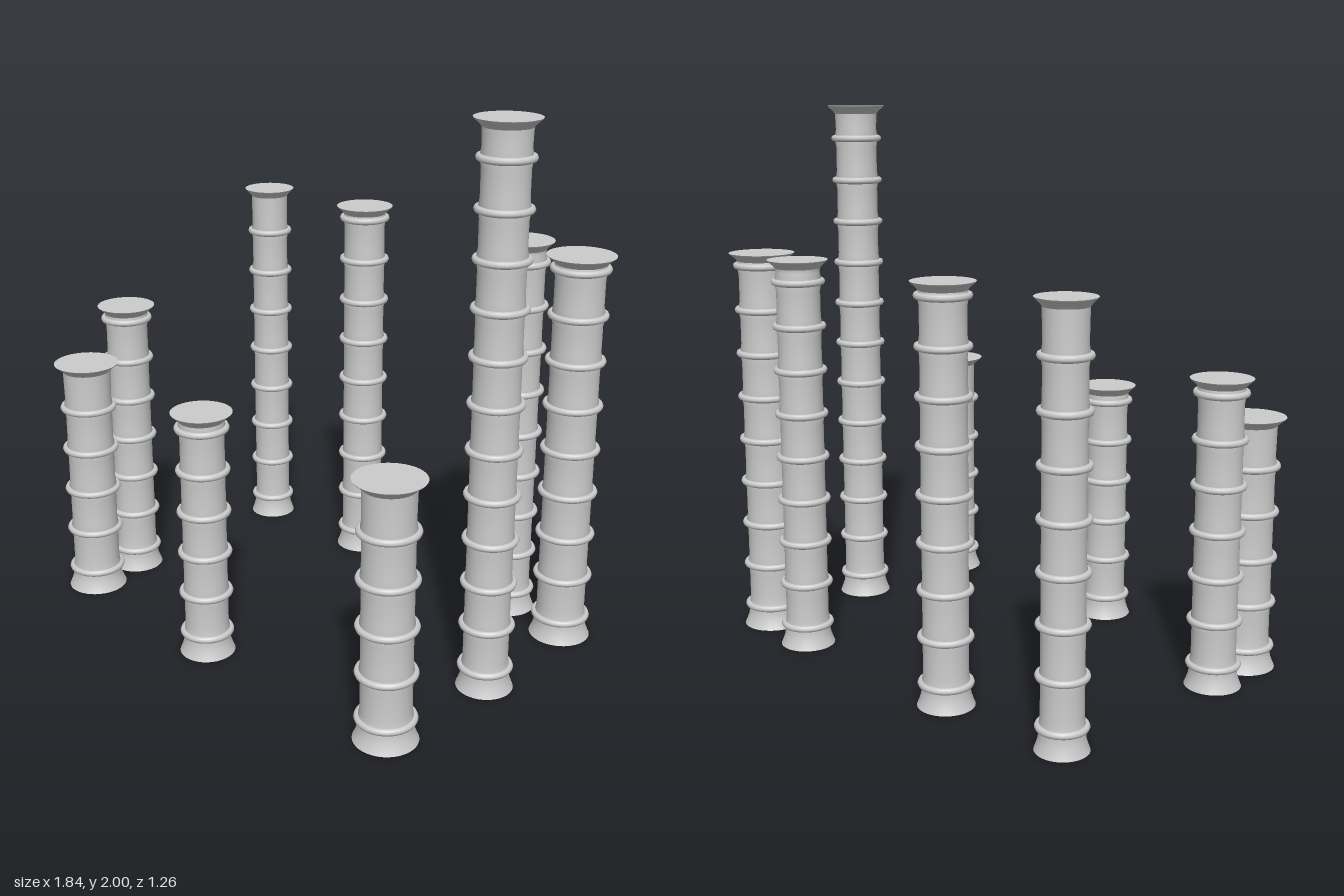
import * as THREE from 'three';

const stone = new THREE.MeshStandardMaterial({ color: 0xcccccc });
stone.name = 'pale stone';

const SEGMENTS = 40;
const FIRST_RING = 0.082;

// x, z, height, capital radius, ring spacing
const COLUMNS = [
  [-0.78, -0.49, 1.465, 0.1, 0.172],
  [-0.27, -0.525, 1.465, 0.11, 0.167],
  [0.51, -0.525, 1.465, 0.11, 0.163],
  [0.78, -0.49, 1.465, 0.122, 0.167],
  [0.81, 0, 2, 0.11, 0.163],
  [-0.81, 0.26, 1.11, 0.11, 0.163],
  [-0.78, 0.485, 0.935, 0.122, 0.169],
  [0.78, 0.485, 0.935, 0.122, 0.169],
  [-0.07, 0.52, 0.935, 0.11, 0.159],
];

function addLathe(parent, name, points) {
  const profile = points.map(([r, y]) => new THREE.Vector2(r, y));
  const mesh = new THREE.Mesh(new THREE.LatheGeometry(profile, SEGMENTS), stone);
  mesh.name = name;
  parent.add(mesh);
}

function addDisc(parent, name, radius, y, tilt) {
  const mesh = new THREE.Mesh(new THREE.CircleGeometry(radius, SEGMENTS), stone);
  mesh.name = name;
  mesh.rotation.x = tilt;
  mesh.position.y = y;
  parent.add(mesh);
}

function createColumn([x, z, height, radius, spacing]) {
  const column = new THREE.Group();
  column.name = 'column';
  column.position.set(x, 0, z);

  const body = radius * 0.72;
  const foot = radius * 0.92;
  const rim = radius * 0.98;

  // flared foot
  addLathe(column, 'foot', [
    [foot, 0], [foot * 0.95, 0.012], [radius * 0.8, 0.035], [radius * 0.76, 0.06], [radius * 0.76, FIRST_RING],
  ]);
  addDisc(column, 'footUnderside', foot, 0, Math.PI / 2);

  // rings, with the shaft swelling slightly towards each one
  const shaft = [];
  for (let y = FIRST_RING; y < height - 0.03; y += spacing) {
    shaft.push([radius * 0.77, y], [body, y + 0.035]);
    if (y + spacing < height - 0.03) shaft.push([body, y + spacing - 0.035]);
    const ring = new THREE.Mesh(new THREE.TorusGeometry(radius * 0.78, 0.0125, 8, SEGMENTS), stone);
    ring.name = 'ring';
    ring.rotation.x = Math.PI / 2;
    ring.position.y = y;
    column.add(ring);
  }
  const top = height - 0.03;
  const below = shaft.filter(([, y]) => y < top);
  addLathe(column, 'shaft', [...below, [radius * 0.74, top]]);

  // flared capital with a flat top
  addLathe(column, 'capital', [
    [radius * 0.74, top], [radius * 0.83, height - 0.018], [rim, height - 0.004], [radius, height],
  ]);
  addDisc(column, 'capitalTop', radius, height, -Math.PI / 2);
  return column;
}

export function createModel() {
  const model = new THREE.Group();
  model.name = 'columns';
  COLUMNS.forEach((spec) => model.add(createColumn(spec)));
  return model;
}
